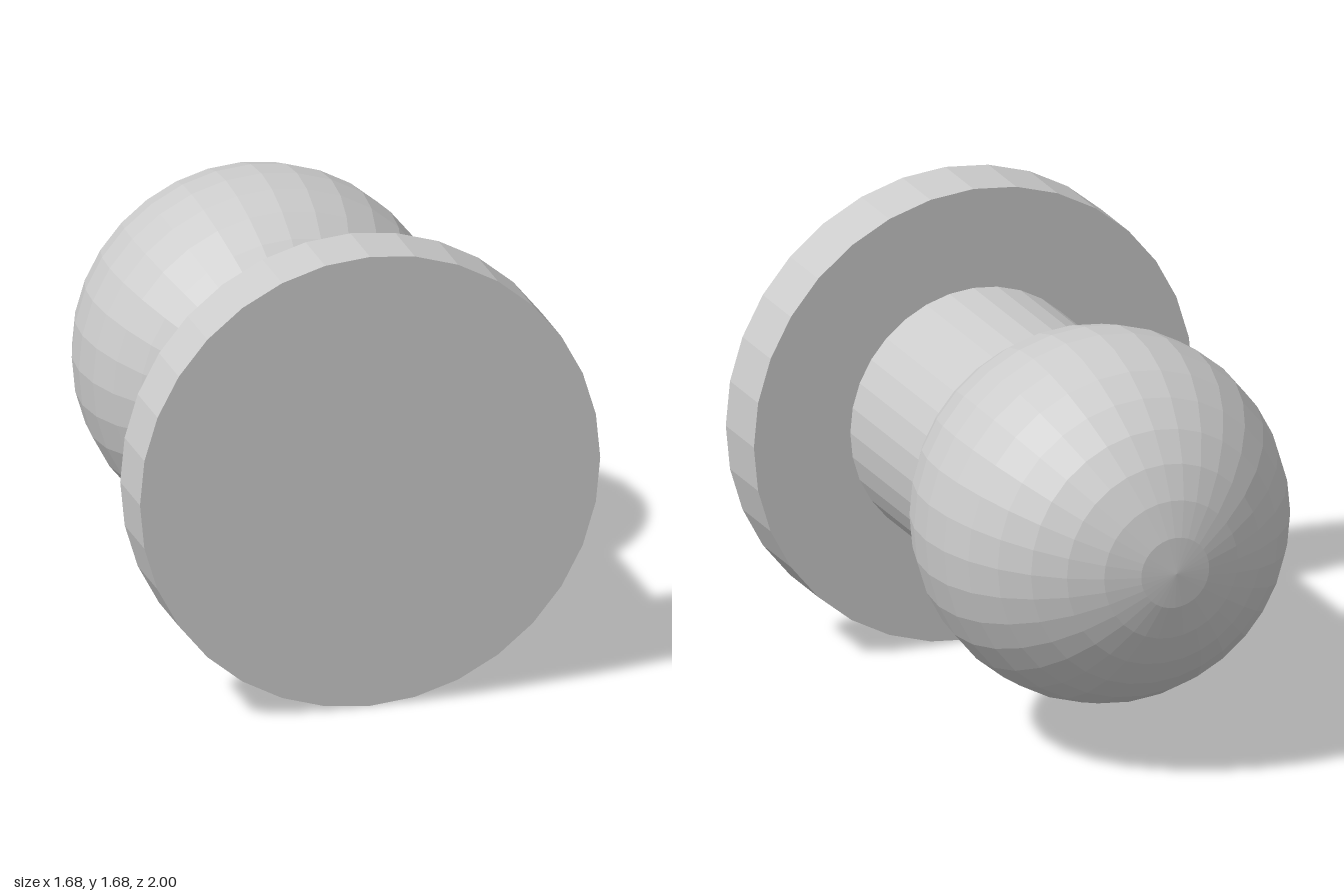
import * as THREE from 'three';

const SIDES = 32;
const BASE_R = 0.838, NECK_R = 0.47, BALL_R = 0.665;
const BASE_BACK = 0.757, BALL_Z = -0.335;
const JOINT_Z = BALL_Z + BALL_R * Math.SQRT1_2; // the neck meets the ball at 45 degrees

export function createModel() {
  const model = new THREE.Group();
  model.name = 'ballKnob';
  const material = new THREE.MeshStandardMaterial({ color: 0xcccccc, flatShading: true });

  // Every part is turned around the z axis, at the height of the base centre
  const addTurned = (name, geometry, z) => {
    geometry.rotateX(Math.PI / 2);
    const mesh = new THREE.Mesh(geometry, material);
    mesh.name = name;
    mesh.position.set(0, BASE_R, z);
    model.add(mesh);
  };

  // Round mounting plate at the front
  addTurned('basePlate', new THREE.CylinderGeometry(BASE_R, BASE_R, 1 - BASE_BACK, SIDES), (1 + BASE_BACK) / 2);

  // Straight neck between plate and ball
  addTurned('neck', new THREE.CylinderGeometry(NECK_R, NECK_R, BASE_BACK - JOINT_Z, SIDES, 1, true), (BASE_BACK + JOINT_Z) / 2);

  // Ball, cut open where the neck joins it
  addTurned('ball', new THREE.SphereGeometry(BALL_R, SIDES, 12, 0, Math.PI * 2, Math.PI / 4, Math.PI * 3 / 4), BALL_Z);

  return model;
}
